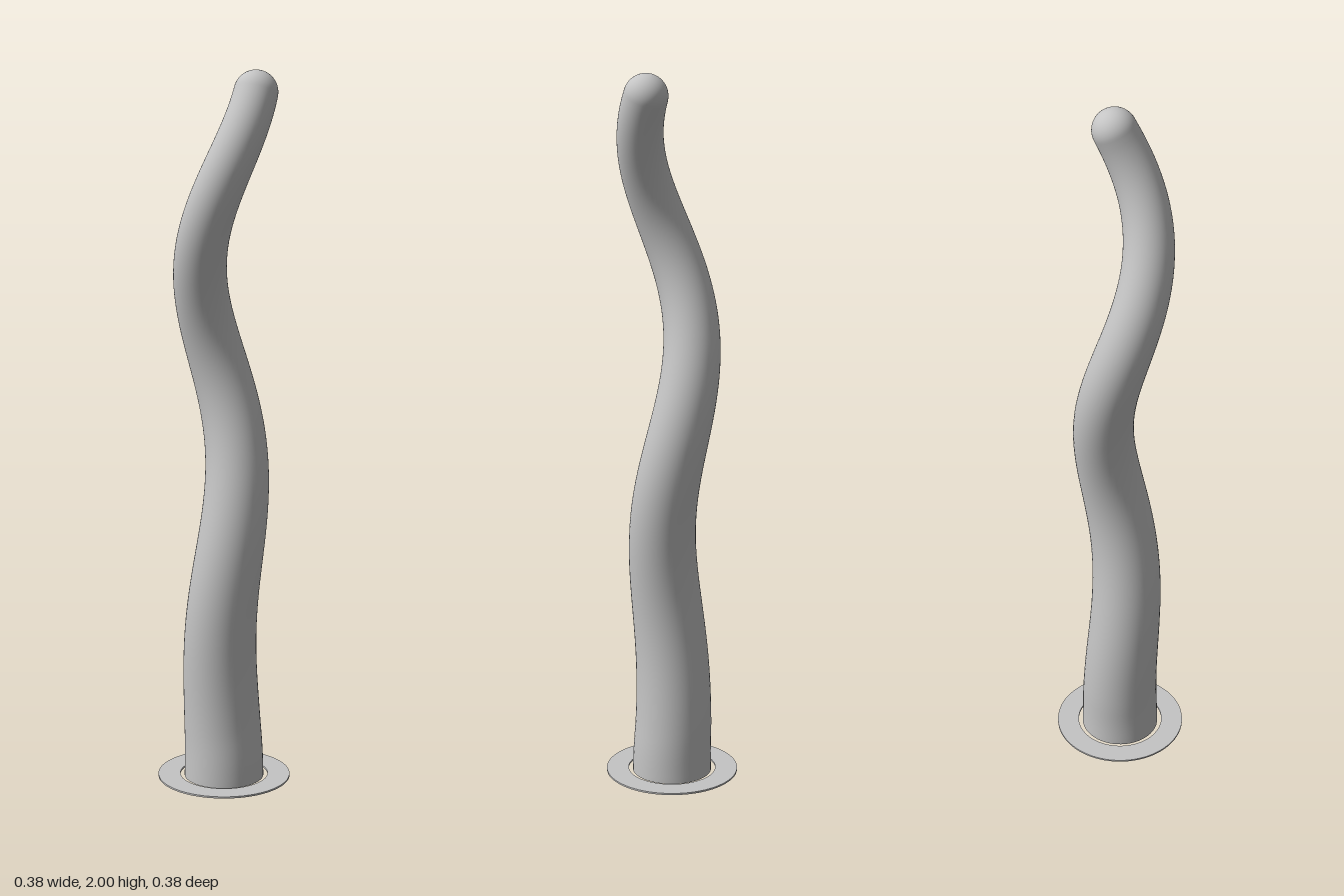
import * as THREE from 'three';

const SIDES = 48;
const TIP_Y = 1.94;
const TIP_R = 0.06;
const BASE_R = 0.113;

// Centre line: a helix that widens towards the tip
function centre(y) {
  const amp = 0.092 * Math.pow(Math.max(y, 0) / TIP_Y, 1.15) * THREE.MathUtils.smoothstep(y, 0, 0.15);
  const angle = (2 * Math.PI * (y - TIP_Y)) / 1.17;
  return new THREE.Vector3(amp * Math.cos(angle), y, -amp * Math.sin(angle));
}

// Tapered body swept along the centre line, closed by a rounded tip
function bodyGeometry() {
  const up = new THREE.Vector3(0, 1, 0);
  const pos = [];
  const index = [];
  let rings = 0;
  const addRing = (c, q, r, lift) => {
    for (let j = 0; j < SIDES; j++) {
      const a = (j / SIDES) * Math.PI * 2;
      const p = new THREE.Vector3(Math.cos(a) * r, lift, Math.sin(a) * r).applyQuaternion(q).add(c);
      pos.push(p.x, p.y, p.z);
    }
    rings++;
  };
  const frame = (y) => {
    const tangent = centre(y + 0.002).sub(centre(y - 0.002)).normalize();
    return new THREE.Quaternion().setFromUnitVectors(up, tangent);
  };
  const steps = 96;
  for (let i = 0; i <= steps; i++) {
    const y = (i / steps) * TIP_Y;
    addRing(centre(y), frame(y), THREE.MathUtils.lerp(BASE_R, TIP_R, i / steps), 0);
  }
  for (let i = 1; i <= 14; i++) {
    const a = (i / 14) * Math.PI / 2;
    addRing(centre(TIP_Y), frame(TIP_Y), Math.max(TIP_R * Math.cos(a), 0.0002), TIP_R * Math.sin(a));
  }
  for (let i = 0; i < rings - 1; i++) {
    for (let j = 0; j < SIDES; j++) {
      const a = i * SIDES + j;
      const b = i * SIDES + ((j + 1) % SIDES);
      index.push(a, a + SIDES, b, b, a + SIDES, b + SIDES);
    }
  }
  const geo = new THREE.BufferGeometry();
  geo.setAttribute('position', new THREE.Float32BufferAttribute(pos, 3));
  geo.setIndex(index);
  geo.computeVertexNormals();
  return geo;
}

export function createModel() {
  const group = new THREE.Group();
  const grey = new THREE.MeshStandardMaterial({ color: 0xc4c4c4, side: THREE.DoubleSide });
  grey.name = 'light grey';
  const add = (name, geometry) => {
    const mesh = new THREE.Mesh(geometry, grey);
    mesh.name = name;
    group.add(mesh);
    return mesh;
  };

  add('tentacle', bodyGeometry());

  // Thin ground ring, with a small gap around the body
  const ring = new THREE.Shape().absarc(0, 0, 0.188, 0, Math.PI * 2, false);
  ring.holes.push(new THREE.Path().absarc(0, 0, 0.125, 0, Math.PI * 2, true));
  const plate = new THREE.ExtrudeGeometry(ring, { depth: 0.005, bevelEnabled: false, curveSegments: 48 });
  add('baseRing', plate.rotateX(-Math.PI / 2));

  // Flat underside rim around the socket
  add('socketRim', new THREE.RingGeometry(0.08, BASE_R, SIDES).rotateX(Math.PI / 2));

  // Ridged socket in the underside
  const ridges = [];
  for (let i = 0; i <= 12; i++) ridges.push(new THREE.Vector2(i % 2 ? 0.074 : 0.08, i * 0.01));
  ridges.push(new THREE.Vector2(0, 0.12));
  const socket = new THREE.LatheGeometry(ridges, SIDES);
  add('ridgedSocket', socket);

  return group;
}
